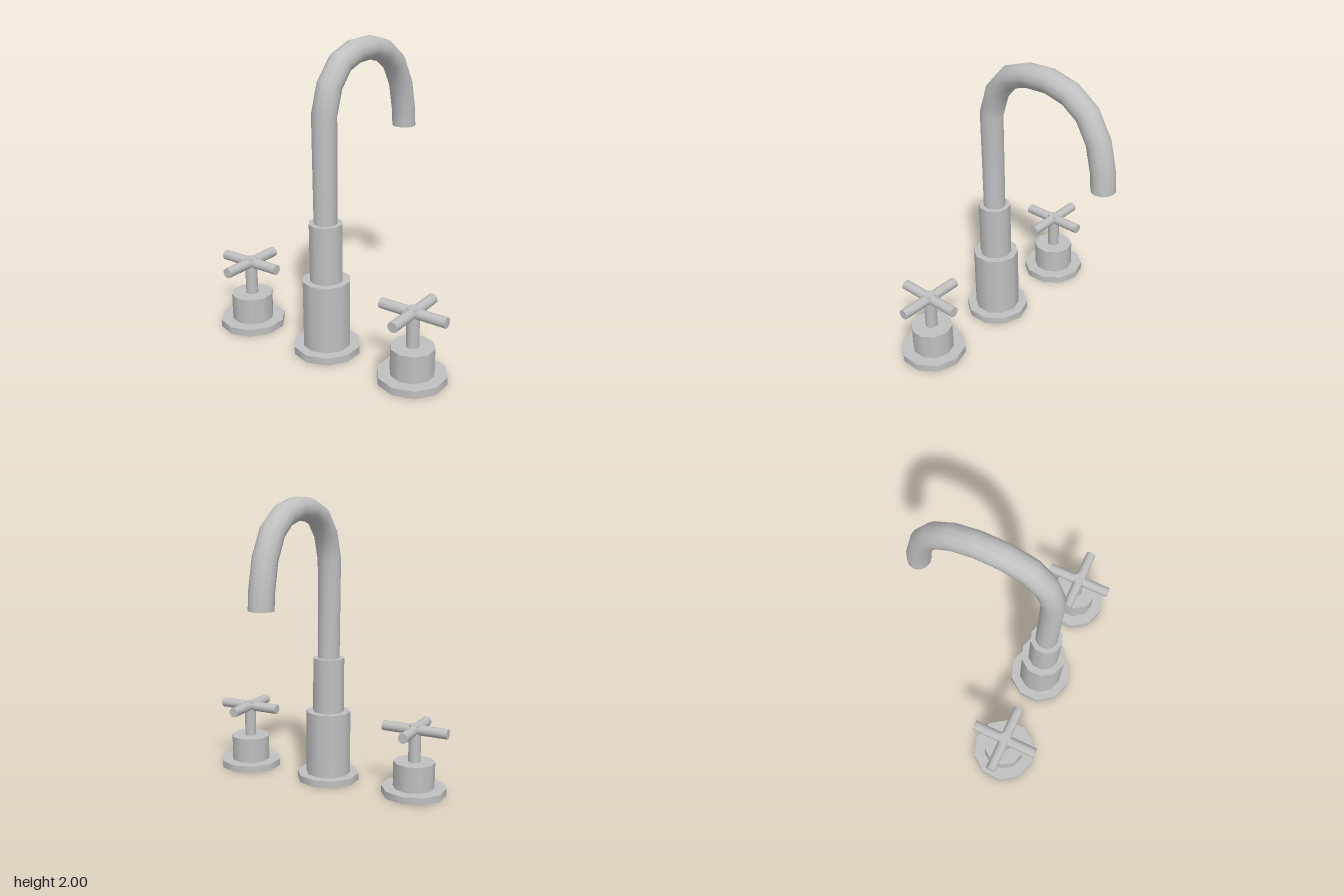
import * as THREE from 'three';

const SIDES = 10;
const CENTRE_Z = 0.378;

// Skins a run of rings lying along a path in the yz plane.
// Each ring: [z, y, tangentZ, tangentY, radius, widthRadius]
function loft(rings, sides) {
  const positions = [], index = [];
  rings.forEach(([z, y, tz, ty, r, rx], i) => {
    for (let j = 0; j < sides; j++) {
      const a = (j / sides) * Math.PI * 2;
      positions.push(rx * Math.sin(a), y - tz * r * Math.cos(a), z + ty * r * Math.cos(a));
      if (i === rings.length - 1) continue;
      const k = (j + 1) % sides;
      const p = i * sides + j, q = i * sides + k;
      index.push(p, q, q + sides, p, q + sides, p + sides);
    }
  });
  const geometry = new THREE.BufferGeometry();
  geometry.setAttribute('position', new THREE.Float32BufferAttribute(positions, 3));
  geometry.setIndex(index);
  geometry.computeVertexNormals();
  return geometry;
}

export function createModel() {
  const metal = new THREE.MeshStandardMaterial({ color: 0xc0c0c0 });
  metal.name = 'brushed metal';

  const add = (parent, name, geometry) => {
    const mesh = new THREE.Mesh(geometry, metal);
    mesh.name = name;
    parent.add(mesh);
    return mesh;
  };
  // Upright cylinder between two heights
  const post = (parent, name, radius, y0, y1) => {
    const mesh = add(parent, name, new THREE.CylinderGeometry(radius, radius, y1 - y0, SIDES));
    mesh.position.y = (y0 + y1) / 2;
    return mesh;
  };

  const model = new THREE.Group();
  model.name = 'faucetSet';

  // Stepped spout base
  const base = new THREE.Group();
  base.name = 'spoutBase';
  base.position.z = CENTRE_Z;
  post(base, 'spoutFlange', 0.222, 0, 0.05);
  post(base, 'lowerBody', 0.158, 0.05, 0.503);
  post(base, 'upperBody', 0.11, 0.503, 0.888);
  model.add(base);

  // Gooseneck: centre line as [z, y], with mitred rings
  const path = [
    [0.378, 0.88], [0.378, 1.575], [0.322, 1.745], [0.212, 1.868], [0.065, 1.918], [-0.105, 1.925],
    [-0.26, 1.885], [-0.39, 1.793], [-0.478, 1.638], [-0.52, 1.45], [-0.528, 1.335],
  ];
  const direction = (a, b) => new THREE.Vector2(b[0] - a[0], b[1] - a[1]).normalize();
  const last = path.length - 1;
  const rings = path.map((p, i) => {
    const t = new THREE.Vector2();
    if (i > 0) t.add(direction(path[i - 1], p));
    if (i < last) t.add(direction(p, path[i + 1]));
    if (i === last) t.set(0, -1);
    t.normalize();
    return [p[0], p[1], t.x, t.y, 0.077, i < 1 ? 0.076 : 0.081];
  });
  const neck = new THREE.Group();
  neck.name = 'gooseneck';
  add(neck, 'pipe', loft(rings, 12));

  // Outlet: thin lip, short inner wall and recessed plug
  const tipRing = (y, r) => [path[last][0], y, 0, -1, r, r * 1.05];
  const outlet = [tipRing(1.335, 0.077), tipRing(1.335, 0.066), tipRing(1.355, 0.066), tipRing(1.355, 0)];
  ['outletLip', 'outletWall', 'outletPlug'].forEach((name, i) => {
    add(neck, name, loft(outlet.slice(i, i + 2), 12));
  });
  model.add(neck);

  // Cross handles on either side
  for (const [name, side] of [['leftHandle', 1], ['rightHandle', -1]]) {
    const handle = new THREE.Group();
    handle.name = name;
    handle.position.set(side * 0.654, 0, CENTRE_Z);
    post(handle, 'handleFlange', 0.223, 0, 0.05);
    post(handle, 'handleHub', 0.142, 0.05, 0.231);
    post(handle, 'handleStem', 0.042, 0.231, 0.489);
    const barGeometry = new THREE.CylinderGeometry(0.035, 0.035, 0.463, SIDES);
    const crossBar = add(handle, 'crossBar', barGeometry);
    crossBar.rotation.z = Math.PI / 2;
    crossBar.position.y = 0.455;
    const depthBar = add(handle, 'depthBar', barGeometry);
    depthBar.rotation.x = Math.PI / 2;
    depthBar.position.y = 0.455;
    model.add(handle);
  }

  return model;
}
